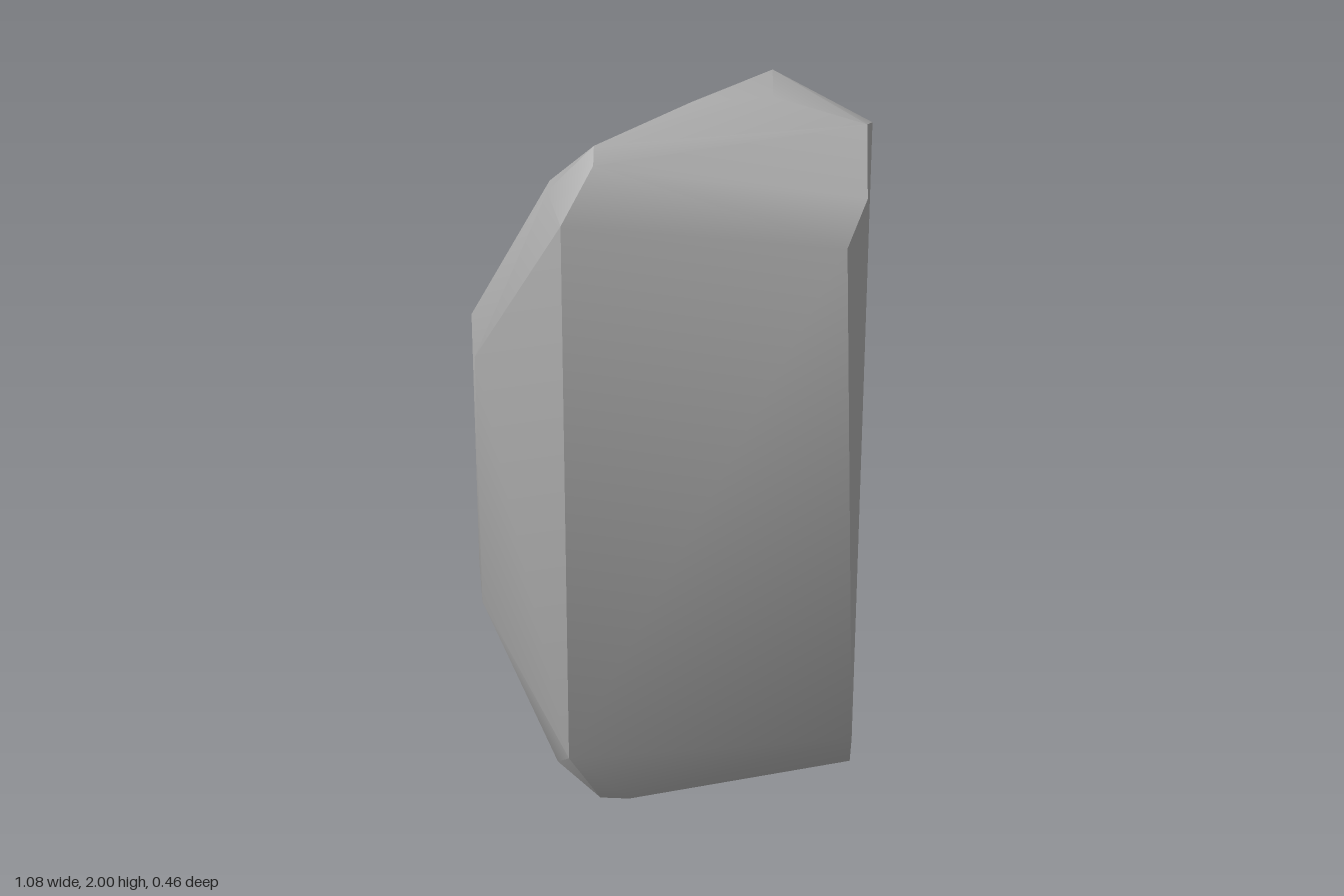
import * as THREE from 'three';
import { ConvexGeometry } from 'three/addons/geometries/ConvexGeometry.js';
import { toCreasedNormals } from 'three/addons/utils/BufferGeometryUtils.js';

export function createModel() {
  const group = new THREE.Group();
  group.name = 'rock';
  const stone = new THREE.MeshStandardMaterial({ color: 0xa8a8a8 });
  stone.name = 'stone grey';

  // Corners of the chipped slab, grouped by region
  const corners = [
    // flat back
    [-0.54, 1.31, -0.23], [-0.54, 0.56, -0.23], [0.27, 2.0, -0.23], [0.535, 1.86, -0.23], [0.345, 0.55, -0.23],
    // bevelled left side
    [-0.505, 1.29, 0.04], [-0.505, 0.57, 0.04],
    [-0.3, 1.77, 0.02], [-0.3, 1.77, 0.11], [-0.3, 0.11, 0.02], [-0.3, 0.11, 0.11],
    // broad front face
    [-0.26, 1.71, 0.212], [-0.26, 0.19, 0.23], [0.46, 1.66, 0.215], [0.51, 0.26, 0.22],
    // rounded top
    [-0.18, 1.89, 0.11], [-0.18, 1.85, 0.15], [0.06, 1.96, -0.05], [0.27, 1.977, -0.05],
    // flat right side
    [0.51, 1.92, 0.0], [0.51, 1.77, 0.15], [0.51, 0.15, 0.15], [0.51, 0.15, -0.1],
    // sloping underside
    [-0.18, 0.02, 0.15], [-0.1, 0.018, 0.15], [-0.01, 0.0, -0.07], [-0.18, 0.02, -0.03],
  ].map((p) => new THREE.Vector3(...p));

  // Soft shading over shallow bends, sharp at the strong edges
  const geometry = toCreasedNormals(new ConvexGeometry(corners), 0.6);
  const slab = new THREE.Mesh(geometry, stone);
  slab.name = 'rockSlab';
  group.add(slab);
  return group;
}
